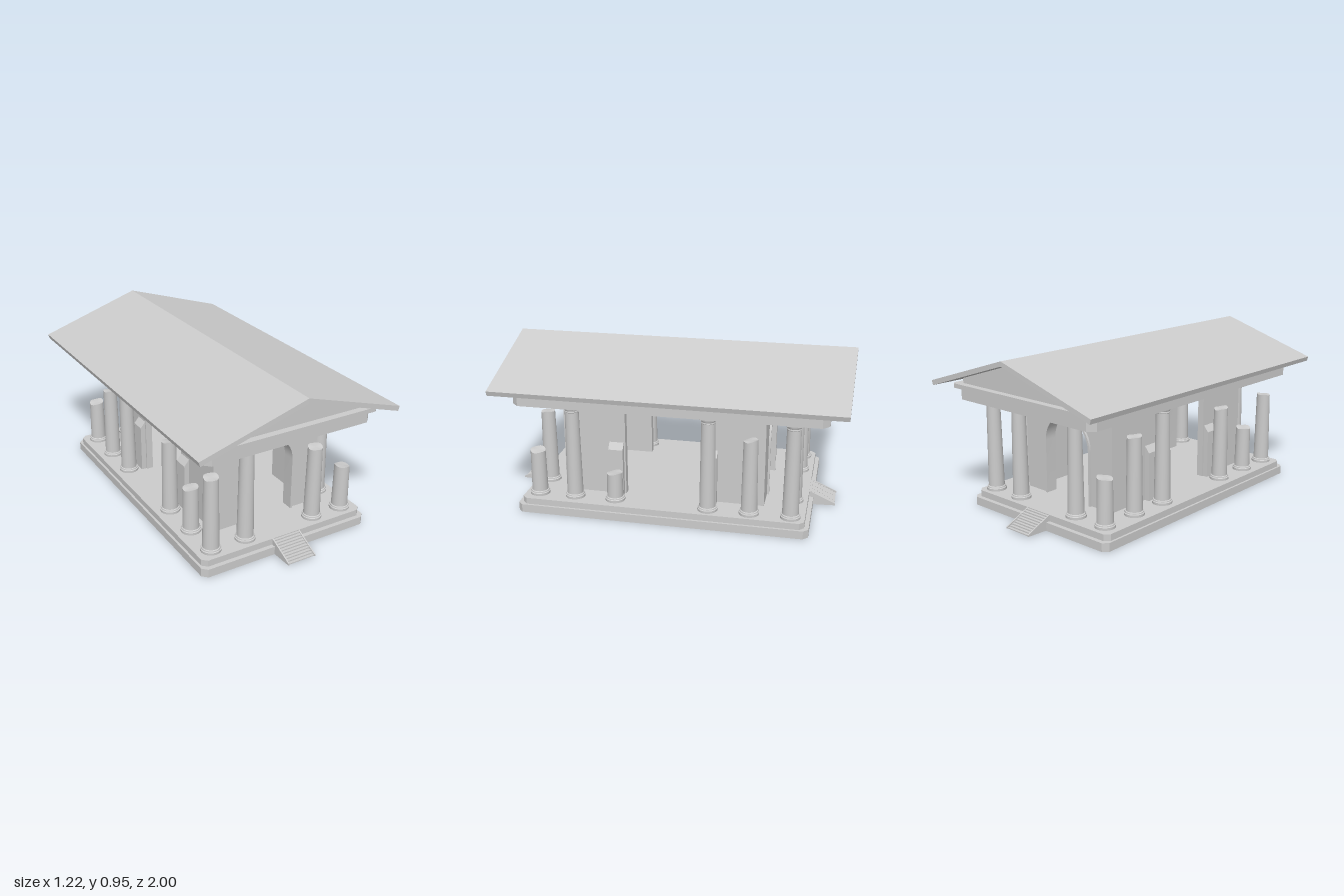
import * as THREE from 'three';
import { toCreasedNormals } from 'three/addons/utils/BufferGeometryUtils.js';

const FLOOR = 0.085, CEILING = 0.651;
const stone = new THREE.MeshStandardMaterial({ color: 0xcccccc });

function add(parent, name, geometry, x = 0, y = 0, z = 0) {
  const mesh = new THREE.Mesh(geometry, stone);
  mesh.name = name;
  mesh.position.set(x, y, z);
  parent.add(mesh);
  return mesh;
}

const poly = (points) => new THREE.Shape(points.map(([x, y]) => new THREE.Vector2(x, y)));
const extrude = (shape, depth) =>
  new THREE.ExtrudeGeometry(shape, { depth, bevelEnabled: false, curveSegments: 16 });

// Rectangle with cut corners
const plan = (w, d, c) => [
  [w - c, -d], [w, -d + c], [w, d - c], [w - c, d],
  [-w + c, d], [-w, d - c], [-w, -d + c], [-w + c, -d],
];

// Horizontal slab with cut corners, optionally hollowed into a frame
function slab(w, d, cut, y0, y1, rim = 0) {
  const shape = poly(plan(w, d, cut));
  if (rim) shape.holes.push(poly(plan(w - rim, d - rim, cut)));
  return extrude(shape, y1 - y0).rotateX(-Math.PI / 2).translate(0, y0, 0);
}

// Arched doorway outline
function archPath(r, bottom, spring) {
  const p = new THREE.Shape();
  p.moveTo(-r, bottom);
  p.lineTo(r, bottom);
  p.lineTo(r, spring);
  p.absarc(0, spring, r, 0, Math.PI, false);
  p.lineTo(-r, bottom);
  return p;
}

// Column base moulding and capital profiles (radius, height)
const BASE = [[0, 0.08], [0.057, 0.08], [0.0575, 0.099], [0.053, 0.102], [0.052, 0.108], [0.046, 0.111]];
const CAPITAL = [[0.038, 0.606], [0.041, 0.611], [0.039, 0.618], [0.046, 0.634], [0.046, 0.638], [0, 0.638]];
const lathe = (pts) =>
  toCreasedNormals(new THREE.LatheGeometry(pts.map(([r, y]) => new THREE.Vector2(r, y)), 20), 0.6);

function column(parent, x, z, top, slopeX, slopeZ) {
  const col = new THREE.Group();
  col.name = top ? 'brokenColumn' : 'column';
  col.position.set(x, 0, z);
  parent.add(col);
  add(col, 'columnBase', lathe(BASE));
  const end = top || 0.612, start = 0.106;
  const rTop = 0.0465 - 0.0075 * (end - start) / 0.506;
  const shaft = new THREE.CylinderGeometry(rTop, 0.0465, end - start, 20).translate(0, (end + start) / 2, 0);
  if (top) {
    // Slanted, jagged fracture
    const p = shaft.attributes.position;
    for (let i = 0; i < p.count; i++) {
      if (p.getY(i) < end - 0.001) continue;
      const px = p.getX(i), pz = p.getZ(i);
      const jag = 0.003 * Math.sin(3 * Math.atan2(pz, px) + x * 9) * Math.hypot(px, pz) / rTop;
      p.setY(i, end - 0.006 + slopeX * px + slopeZ * pz + jag);
    }
  } else {
    add(col, 'capital', lathe(CAPITAL));
    add(col, 'abacus', slab(0.048, 0.048, 0.012, 0.636, CEILING + 0.003));
  }
  add(col, 'columnShaft', toCreasedNormals(shaft, 0.6));
}

// One half of the inner chamber, facing +z
function chamber() {
  const g = new THREE.Group();
  g.name = 'chamber';
  const W = 0.334, T = 0.05, SIDE = 0.04, face = 0.584, back = 0.221, spring = 0.402;
  const wall = poly([[-W, FLOOR - 0.01], [W, FLOOR - 0.01], [W, CEILING + 0.004], [-W, CEILING + 0.004]]);
  wall.holes.push(archPath(0.17, FLOOR - 0.005, spring));
  add(g, 'archWall', toCreasedNormals(extrude(wall, T), 0.5), 0, 0, face - T);

  // Raised trim around the arch
  const trim = archPath(0.178, FLOOR - 0.01, spring);
  trim.holes.push(archPath(0.166, FLOOR - 0.005, spring));
  add(g, 'archTrim', toCreasedNormals(extrude(trim, T + 0.024), 0.5), 0, 0, face - T - 0.012);

  for (const s of [-1, 1]) {
    const len = face - T - back;
    add(g, 'sideWall', new THREE.BoxGeometry(SIDE, CEILING - FLOOR + 0.01, len),
      s * (W - SIDE / 2), (CEILING + FLOOR) / 2, back + len / 2);
    // Broken pilaster with a sloping top
    const pts = [[W - 0.01, FLOOR - 0.01], [W + 0.03, FLOOR - 0.01], [W + 0.03, 0.367], [W, 0.404], [W - 0.01, 0.404]];
    add(g, 'brokenPilaster', extrude(poly(pts.map(([x, y]) => [s * x, y])), 0.085), 0, 0, back + 0.009);
  }
  return g;
}

// Flight of steps, open underneath, between two sloping side pieces
function stairs() {
  const g = new THREE.Group();
  g.name = 'stairs';
  const z0 = 0.8, z1 = 0.966, steps = 10, run = 0.0152;
  const side = [[z0, 0], [z1, 0.006], [z1, 0.016], [0.81, FLOOR], [z0, FLOOR]];
  const profile = [[z0, 0.065], [z1 - 0.012, 0.006], [z1 - 0.004, 0.006]];
  for (let i = 0; i < steps; i++) {
    const z = z1 - 0.004 - i * run, y = 0.012 + (i * 0.068) / (steps - 1);
    profile.push([z, y], [z - run, y]);
  }
  profile.push([z0, 0.08]);
  const across = (pts, width) => extrude(poly(pts), width).translate(0, 0, -width / 2).rotateY(-Math.PI / 2);
  add(g, 'steps', across(profile, 0.165));
  for (const s of [-1, 1]) add(g, 'stairSide', across(side, 0.007), s * 0.085);
  return g;
}

export function createModel() {
  const model = new THREE.Group();
  model.name = 'ruinedTemple';

  // Stepped platform, hollow underneath
  const platform = new THREE.Group();
  platform.name = 'platform';
  platform.position.z = 0.034;
  model.add(platform);
  add(platform, 'lowerStep', slab(0.528, 0.837, 0.028, 0, 0.048, 0.025));
  add(platform, 'upperStep', slab(0.515, 0.812, 0.027, 0.03, FLOOR));
  const frontStairs = stairs(), backStairs = stairs();
  backStairs.rotation.y = Math.PI;
  platform.add(frontStairs, backStairs);

  // Columns: x, z, height of the break (0 = whole), slope of the break
  const columns = [
    [-0.425, 0.765, 0.53, 0.06, -0.1], [-0.212, 0.765, 0],
    [0.228, 0.765, 0.53, 0.05, -0.1], [0.423, 0.765, 0.362, -0.15, 0.05],
    [0.423, 0.55, 0], [0.423, 0.31, 0.258, 0.05, -0.1],
    [0.443, -0.232, 0], [0.443, -0.467, 0.53, 0.05, -0.18], [0.443, -0.697, 0],
    [0.228, -0.697, 0], [-0.212, -0.697, 0], [-0.425, -0.697, 0.36, 0.15, -0.05],
    [-0.425, -0.467, 0.53, -0.05, 0.1], [-0.425, -0.232, 0],
    [-0.425, 0.31, 0.53, -0.05, 0.15], [-0.425, 0.55, 0.36, 0.1, 0.05],
  ];
  for (const c of columns) column(model, ...c);

  // Two facing chamber halves
  for (const turn of [0, Math.PI]) {
    const half = chamber();
    half.position.set(0.005, 0, 0.046);
    half.rotation.y = turn;
    model.add(half);
  }

  // Beams resting on the columns
  add(model, 'entablature', slab(0.52, 0.878, 0.038, CEILING, 0.716), 0, 0, -0.007);
  add(model, 'cornice', slab(0.538, 0.899, 0.02, 0.716, 0.741), 0, 0, -0.007);

  // Gable block under the roof
  const gable = poly([[-0.485, 0.738], [0.485, 0.738], [0.485, 0.771], [0, 0.925], [-0.485, 0.771]]);
  add(model, 'pediment', extrude(gable, 1.72), 0, 0, -0.867);

  // Pitched roof whose ridge reaches out beyond the eaves
  const roof = extrude(poly([[-0.604, 0.731], [0, 0.923], [0.604, 0.731], [0.612, 0.758], [0, 0.95], [-0.612, 0.758]]), 2)
    .translate(0, 0, -1);
  const p = roof.attributes.position;
  for (let i = 0; i < p.count; i++) {
    const reach = 0.977 + 0.015 * (1 - Math.abs(p.getX(i)) / 0.612);
    p.setZ(i, Math.sign(p.getZ(i)) * reach);
  }
  roof.computeVertexNormals();
  add(model, 'roof', roof, 0, 0, -0.007);

  return model;
}
